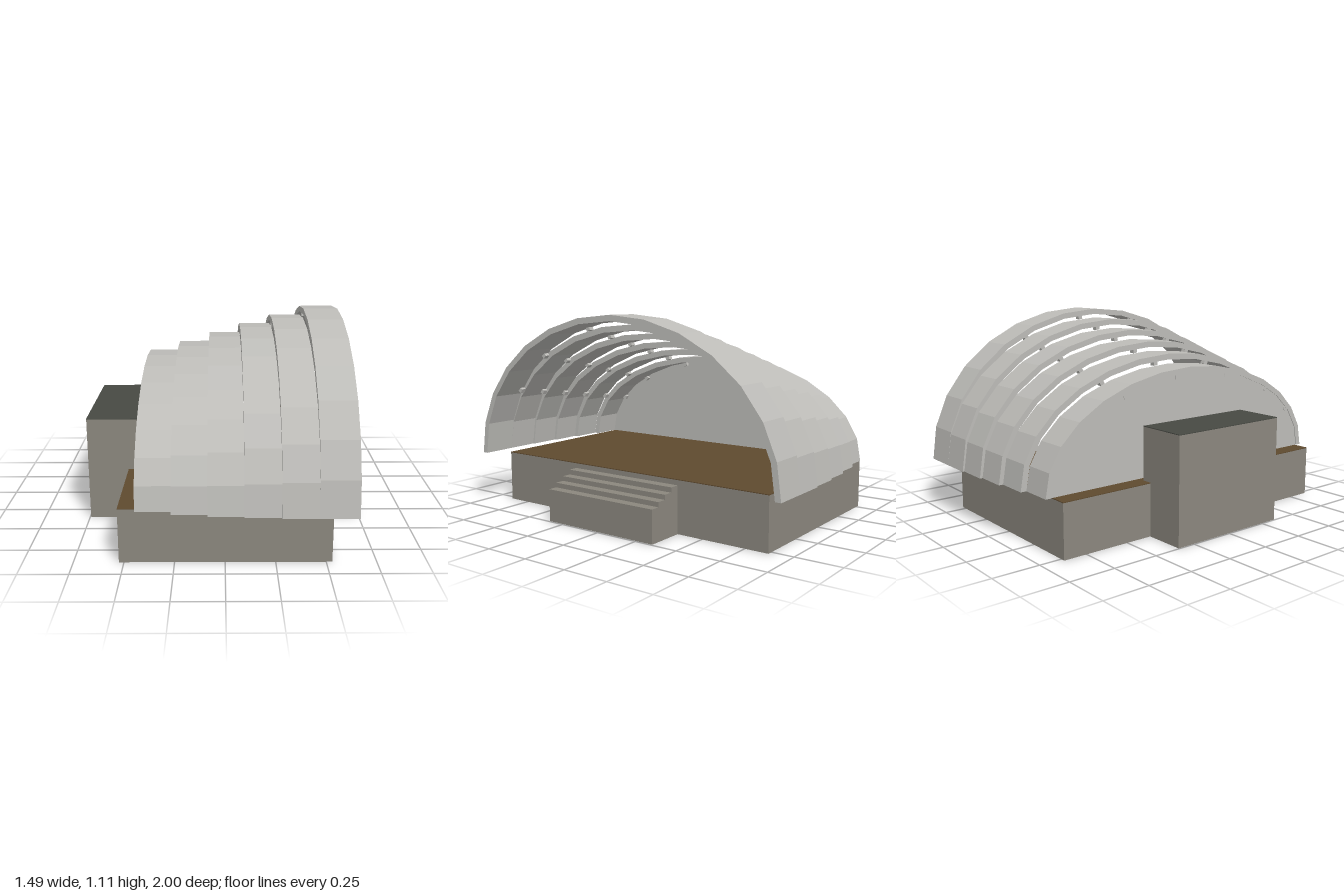
import * as THREE from 'three';

const mat = (name, color, side = THREE.DoubleSide) => {
  const m = new THREE.MeshStandardMaterial({ color, side });
  m.name = name;
  return m;
};

// Removes the faces lying on the ground, leaving a hollow body
function openBottom(geometry) {
  const src = geometry.index ? geometry.toNonIndexed() : geometry;
  const p = src.attributes.position.array;
  const kept = [];
  for (let i = 0; i < p.length; i += 9) {
    if (Math.max(p[i + 1], p[i + 4], p[i + 7]) > 0.0001) kept.push(...p.slice(i, i + 9));
  }
  const out = new THREE.BufferGeometry();
  out.setAttribute('position', new THREE.Float32BufferAttribute(kept, 3));
  out.computeVertexNormals();
  return out;
}

// Box given by its limits in x and y and its half width in z
function box(x0, x1, y0, y1, halfZ) {
  const g = new THREE.BoxGeometry(x1 - x0, y1 - y0, halfZ * 2);
  return g.translate((x0 + x1) / 2, (y0 + y1) / 2, 0);
}

export function createModel() {
  const group = new THREE.Group();
  const shell = mat('shell grey', 0xbdbcb8);
  const wall = mat('wall stone', 0x8b877e);
  const deck = mat('deck brown', 0x5f4a2f);
  const roof = mat('roof dark', 0x474943);

  const add = (name, geometry, material, parent = group) => {
    const mesh = new THREE.Mesh(geometry, material);
    mesh.name = name;
    parent.add(mesh);
    return mesh;
  };

  const FLOOR = 0.287;

  // Stage platform, hollow below, with a thin deck
  add('platform', openBottom(box(-0.525, 0.53, 0, FLOOR - 0.004, 0.88)), wall);
  add('deck', openBottom(box(-0.525, 0.53, 0, 0.004, 0.88)).translate(0, FLOOR - 0.004, 0), deck);

  // Back room with a dark flat roof
  add('backRoom', openBottom(box(-0.745, -0.47, 0, 0.571, 0.35)), wall);
  add('backRoomRoof', openBottom(box(-0.745, -0.47, 0, 0.004, 0.35)).translate(0, 0.571, 0), roof);

  // Front stairs
  const stairs = new THREE.Shape();
  stairs.moveTo(0.53, 0);
  const edges = [0.742, 0.69, 0.637, 0.584, 0.53];
  const treads = [0.177, 0.203, 0.229, 0.256];
  stairs.lineTo(edges[0], 0);
  treads.forEach((y, i) => {
    stairs.lineTo(edges[i], y);
    stairs.lineTo(edges[i + 1], y);
  });
  const stairGeo = new THREE.ExtrudeGeometry(stairs, { depth: 0.7, bevelEnabled: false });
  add('stairs', openBottom(stairGeo.translate(0, 0, -0.35)), wall);

  // Faceted half-elliptical arches growing toward the front
  const SEGMENTS = 14;
  const THICK = 0.032;
  const arc = (w, h) => Array.from({ length: SEGMENTS + 1 }, (_, i) => {
    const a = (Math.PI * i) / SEGMENTS;
    return new THREE.Vector2(w * Math.cos(a), FLOOR + h * Math.sin(a));
  });
  const extrudeX = (points, x0, x1) =>
    new THREE.ExtrudeGeometry(new THREE.Shape(points), { depth: x1 - x0, bevelEnabled: false })
      .rotateY(Math.PI / 2).translate(x0, 0, 0);

  const xs = [-0.437, -0.26, -0.085, 0.09, 0.267, 0.445, 0.636];
  const widths = [0.92, 0.952, 0.975, 0.99, 1.0, 1.0];
  const crowns = [0.845, 0.899, 0.952, 1.006, 1.059, 1.112];
  const clipAngles = [-69, -30, -6, 18, 42, 62];

  const canopy = new THREE.Group();
  canopy.name = 'canopy';
  group.add(canopy);

  widths.forEach((w, i) => {
    const h = crowns[i] - FLOOR;
    const outline = [...arc(w, h), ...arc(w - THICK, h - THICK).reverse()];
    add('arch' + (i + 1), extrudeX(outline, xs[i], xs[i + 1]), shell, canopy);

    // Small clips under the rear edge of each arch
    for (const deg of clipAngles) {
      const a = THREE.MathUtils.degToRad(deg);
      const clip = add('archClip', new THREE.BoxGeometry(0.03, 0.03, 0.025), shell, canopy);
      clip.position.set(xs[i] + 0.016,
        FLOOR + (h - THICK - 0.008) * Math.cos(a), (w - THICK - 0.008) * Math.sin(a));
      clip.rotation.x = a;
    }
  });

  // Rear wall closing the smallest arch
  const rear = arc(widths[0] - THICK / 2, crowns[0] - FLOOR - THICK / 2);
  add('rearWall', extrudeX(rear, xs[0] + 0.004, xs[0] + 0.012), shell, canopy);

  return group;
}
